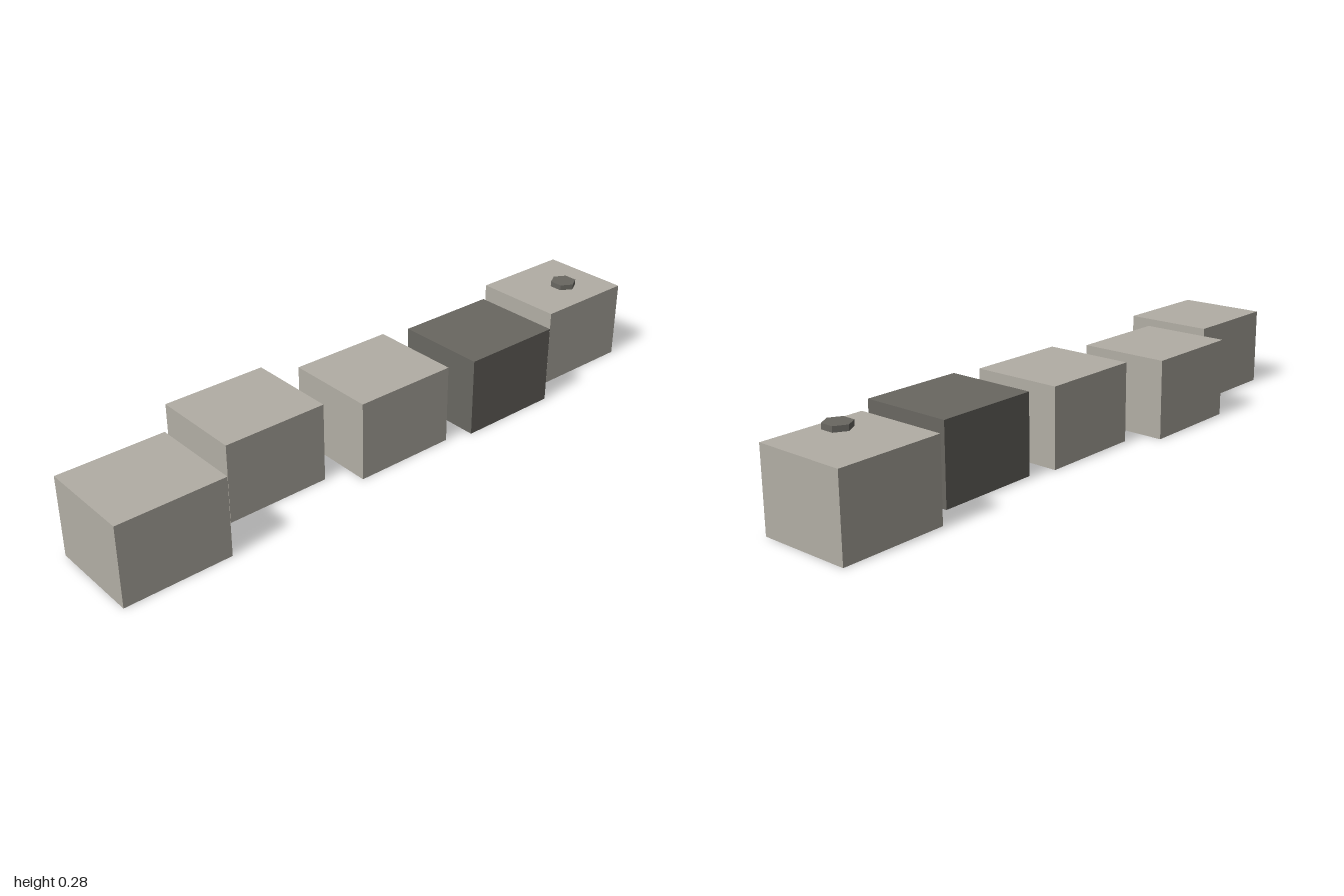
import * as THREE from 'three';

export function createModel() {
  const model = new THREE.Group();
  model.name = 'steppingBlocks';

  const paleStone = new THREE.MeshStandardMaterial({ color: 0xb2aea5 });
  paleStone.name = 'paleStone';
  const darkStone = new THREE.MeshStandardMaterial({ color: 0x696761 });
  darkStone.name = 'darkStone';

  // Staggered row of equal blocks, one of them dark
  const spacing = 5 / 12;
  const height = 0.25;
  const blockGeometry = new THREE.BoxGeometry(1 / 3, height, 0.292);
  const offsets = [0.063, -0.063, 0.009, 0.033, -0.037];
  offsets.forEach((z, i) => {
    const block = new THREE.Mesh(blockGeometry, i === 3 ? darkStone : paleStone);
    block.name = `block${i + 1}`;
    block.position.set((i - 2) * spacing, height / 2, z);
    model.add(block);
  });

  // Small hexagonal disc hovering above the last block
  const discGeometry = new THREE.CylinderGeometry(0.042, 0.042, 0.017, 6).toNonIndexed();
  discGeometry.computeVertexNormals();
  const disc = new THREE.Mesh(discGeometry, darkStone);
  disc.name = 'hexDisc';
  disc.position.set(2 * spacing, 0.2755, 0.009);
  model.add(disc);

  return model;
}
